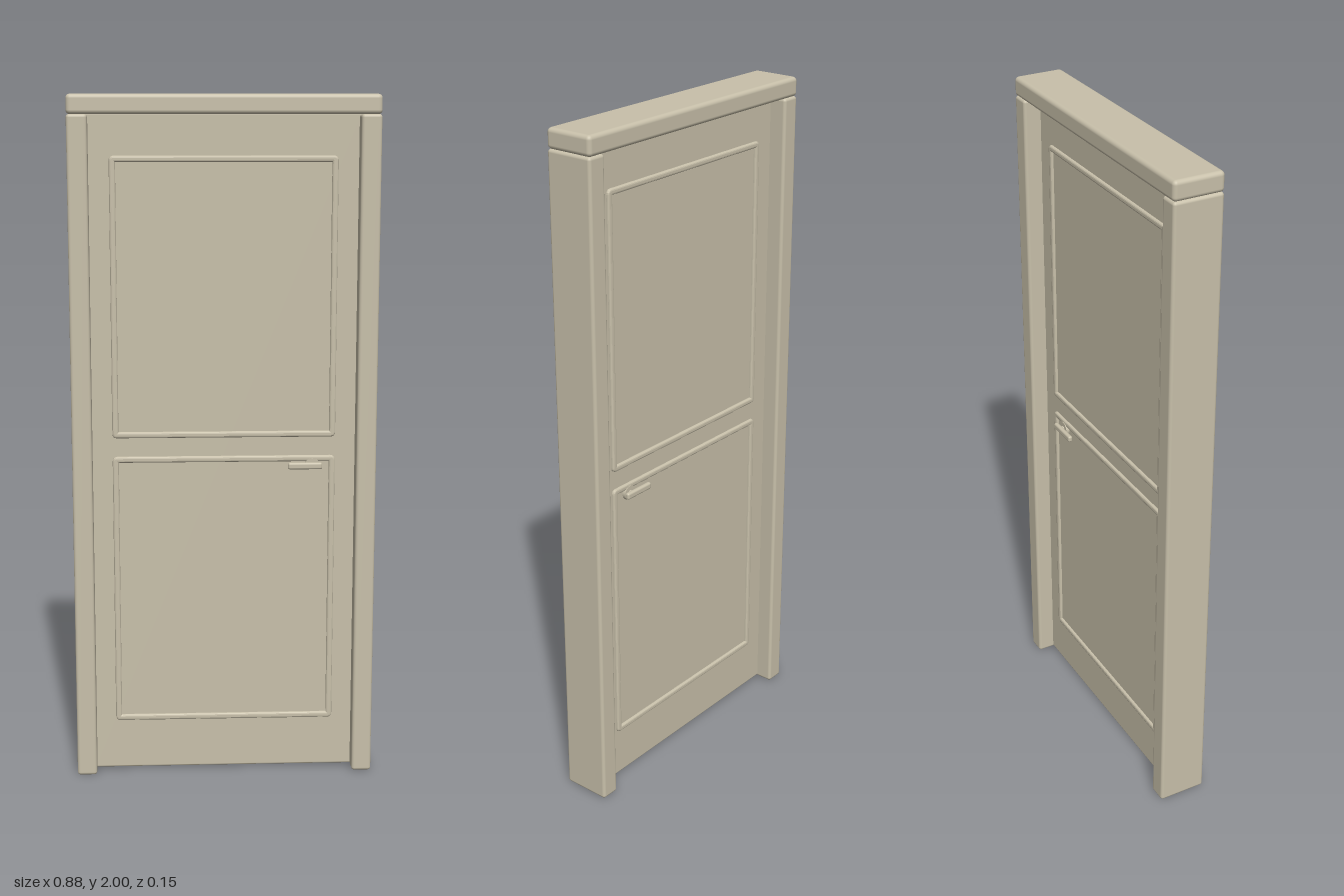
import * as THREE from 'three';
import { RoundedBoxGeometry } from 'three/addons/geometries/RoundedBoxGeometry.js';

const paint = new THREE.MeshStandardMaterial({ color: 0xc8c0aa });
paint.name = 'beigePaint';

const SLAB = 0.022; // half thickness of the door leaf

function add(parent, name, geometry, x = 0, y = 0, z = 0) {
  const mesh = new THREE.Mesh(geometry, paint);
  mesh.name = name;
  mesh.position.set(x, y, z);
  parent.add(mesh);
  return mesh;
}

// Rectangle with small rounded corners, usable as outline or hole
function roundRect(path, w, h, r) {
  const x = w / 2, y = h / 2;
  path.moveTo(-x + r, -y);
  path.lineTo(x - r, -y);
  path.quadraticCurveTo(x, -y, x, -y + r);
  path.lineTo(x, y - r);
  path.quadraticCurveTo(x, y, x - r, y);
  path.lineTo(-x + r, y);
  path.quadraticCurveTo(-x, y, -x, y - r);
  path.lineTo(-x, -y + r);
  path.quadraticCurveTo(-x, -y, -x + r, -y);
  return path;
}

// Raised panel moulding with a rounded cross-section
function mouldingGeometry(w, h) {
  const b = 0.006;
  const shape = roundRect(new THREE.Shape(), w - 2 * b, h - 2 * b, 0.008);
  shape.holes.push(roundRect(new THREE.Path(), w - 0.036 + 2 * b, h - 0.036 + 2 * b, 0.004));
  return new THREE.ExtrudeGeometry(shape, {
    depth: 0.004, bevelThickness: b, bevelSize: b, bevelSegments: 3, curveSegments: 4,
  });
}

// Mouldings and handle for one side of the door
function doorFace(side) {
  const face = new THREE.Group();
  face.name = side > 0 ? 'frontFace' : 'backFace';
  for (const [name, y] of [['upperMoulding', 1.425], ['lowerMoulding', 0.56]]) {
    const m = add(face, name, mouldingGeometry(0.65, 0.81), 0, y, side * (SLAB - 0.002));
    if (side < 0) m.rotation.y = Math.PI;
  }

  // Round rose, spindle and lever
  const handle = new THREE.Group();
  handle.name = 'handle';
  handle.position.set(0.258, 0.935, side * SLAB);
  face.add(handle);
  add(handle, 'handleRose', new THREE.CylinderGeometry(0.022, 0.022, 0.012, 24), 0, 0, side * 0.004)
    .rotation.x = Math.PI / 2;
  add(handle, 'handleSpindle', new THREE.CylinderGeometry(0.009, 0.009, 0.024, 16), 0, 0, side * 0.012)
    .rotation.x = Math.PI / 2;
  add(handle, 'handleLever', new RoundedBoxGeometry(0.1, 0.02, 0.014, 3, 0.006), -0.022, 0.002, side * 0.021);
  return face;
}

export function createModel() {
  const door = new THREE.Group();
  door.name = 'door';

  // Frame
  for (const s of [1, -1]) {
    add(door, s > 0 ? 'leftJamb' : 'rightJamb',
      new RoundedBoxGeometry(0.058, 1.945, 0.146, 3, 0.009), s * 0.412, 0.9725, 0);
  }
  add(door, 'header', new RoundedBoxGeometry(0.882, 0.056, 0.148, 3, 0.012), 0, 1.972, 0);

  // Leaf
  add(door, 'doorLeaf', new RoundedBoxGeometry(0.784, 1.945, SLAB * 2, 3, 0.006), 0, 0.9765, 0);
  door.add(doorFace(1), doorFace(-1));
  return door;
}
